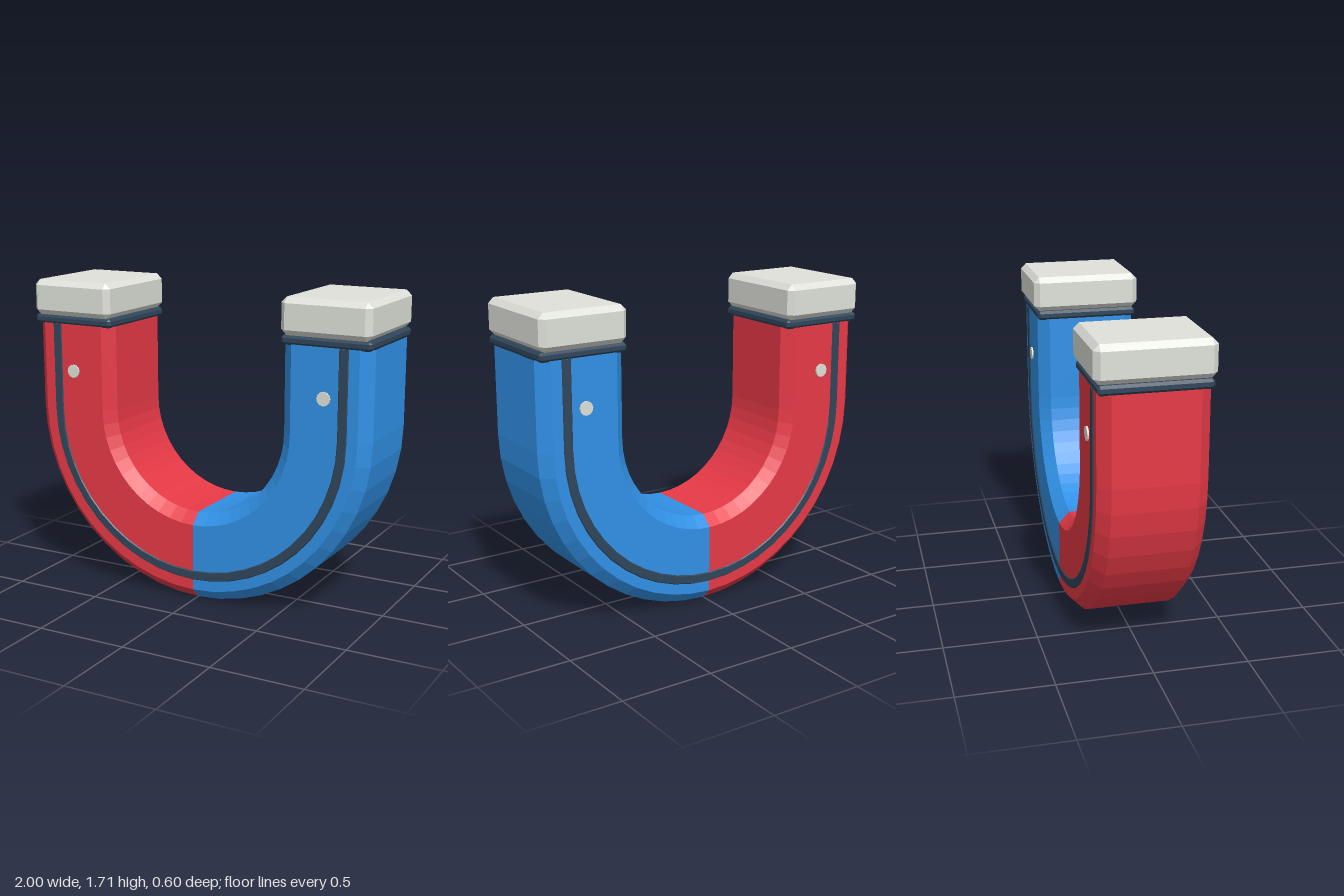
import * as THREE from 'three';
import { ConvexGeometry } from 'three/addons/geometries/ConvexGeometry.js';

const OUTER = 1, INNER = 0.51, HALF_DEPTH = 0.278, CHAMFER = 0.06;
const CENTRE_Y = 1, ARM_TOP = 1.47, ARC_STEPS = 12;

function material(name, color) {
  const m = new THREE.MeshStandardMaterial({ color, flatShading: true });
  m.name = name;
  return m;
}

// Sweeps a closed counter-clockwise (radius, z) profile along a quarter bend and up one arm.
function sweepArm(profile, side) {
  const pos = [], index = [], n = profile.length;
  for (let i = 0; i <= ARC_STEPS + 1; i++) {
    const a = (Math.min(i, ARC_STEPS) / ARC_STEPS) * Math.PI / 2;
    for (const [r, z] of profile) {
      const y = i > ARC_STEPS ? ARM_TOP : CENTRE_Y - r * Math.cos(a);
      pos.push(side * r * Math.sin(a), y, z);
    }
  }
  for (let i = 0; i <= ARC_STEPS; i++) {
    for (let j = 0; j < n; j++) {
      const a = i * n + j, c = i * n + (j + 1) % n, b = a + n, d = c + n;
      if (side > 0) index.push(a, b, c, c, b, d);
      else index.push(a, c, b, c, d, b);
    }
  }
  const g = new THREE.BufferGeometry();
  g.setAttribute('position', new THREE.Float32BufferAttribute(pos, 3));
  g.setIndex(index);
  const flat = g.toNonIndexed();
  flat.computeVertexNormals();
  return flat;
}

// Box with every edge cut at 45 degrees.
function chamferBox(w, h, d, c) {
  const pts = [], x = w / 2, y = h / 2, z = d / 2;
  for (const sx of [-1, 1]) for (const sy of [-1, 1]) for (const sz of [-1, 1]) {
    pts.push(
      new THREE.Vector3(sx * x, sy * (y - c), sz * (z - c)),
      new THREE.Vector3(sx * (x - c), sy * y, sz * (z - c)),
      new THREE.Vector3(sx * (x - c), sy * (y - c), sz * z));
  }
  return new ConvexGeometry(pts);
}

export function createModel() {
  const red = material('red paint', 0xe63946);
  const blue = material('blue paint', 0x3192e8);
  const steel = material('pale steel', 0xdfe1da);
  const dark = material('dark trim', 0x30465a);

  const model = new THREE.Group();
  model.name = 'horseshoeMagnet';
  const add = (name, geometry, mat, x = 0, y = 0, z = 0) => {
    const mesh = new THREE.Mesh(geometry, mat);
    mesh.name = name;
    mesh.position.set(x, y, z);
    model.add(mesh);
    return mesh;
  };

  const h = HALF_DEPTH, c = CHAMFER;
  const bodyProfile = [
    [OUTER, c - h], [OUTER, h - c], [OUTER - c, h], [INNER + c, h],
    [INNER, h - c], [INNER, c - h], [INNER + c, -h], [OUTER - c, -h],
  ];
  const frontStripe = [[0.888, 0.27], [0.877, 0.284], [0.835, 0.284], [0.824, 0.27]];
  const backStripe = frontStripe.map(([r, z]) => [r, -z]).reverse();

  const armX = (OUTER + INNER) / 2, armW = OUTER - INNER;
  const collar = chamferBox(armW, 0.05, 0.568, 0.014);
  const cap = chamferBox(armW, 0.195, 0.6, 0.03);
  const rivet = new THREE.CylinderGeometry(0.037, 0.037, 0.02, 12).rotateX(Math.PI / 2);

  for (const side of [-1, 1]) {
    const label = side > 0 ? 'left' : 'right';
    // Painted half of the horseshoe with its trim stripes
    add(label + 'Arm', sweepArm(bodyProfile, side), side > 0 ? blue : red);
    add(label + 'FrontStripe', sweepArm(frontStripe, side), dark);
    add(label + 'BackStripe', sweepArm(backStripe, side), dark);
    // Collar and steel pole tip
    add(label + 'Collar', collar, dark, side * armX, 1.49);
    add(label + 'PoleTip', cap, steel, side * armX, 1.61);
    // Rivets on both faces
    add(label + 'FrontRivet', rivet, steel, side * 0.753, 1.21, 0.277);
    add(label + 'BackRivet', rivet, steel, side * 0.753, 1.21, -0.277);
  }
  return model;
}
